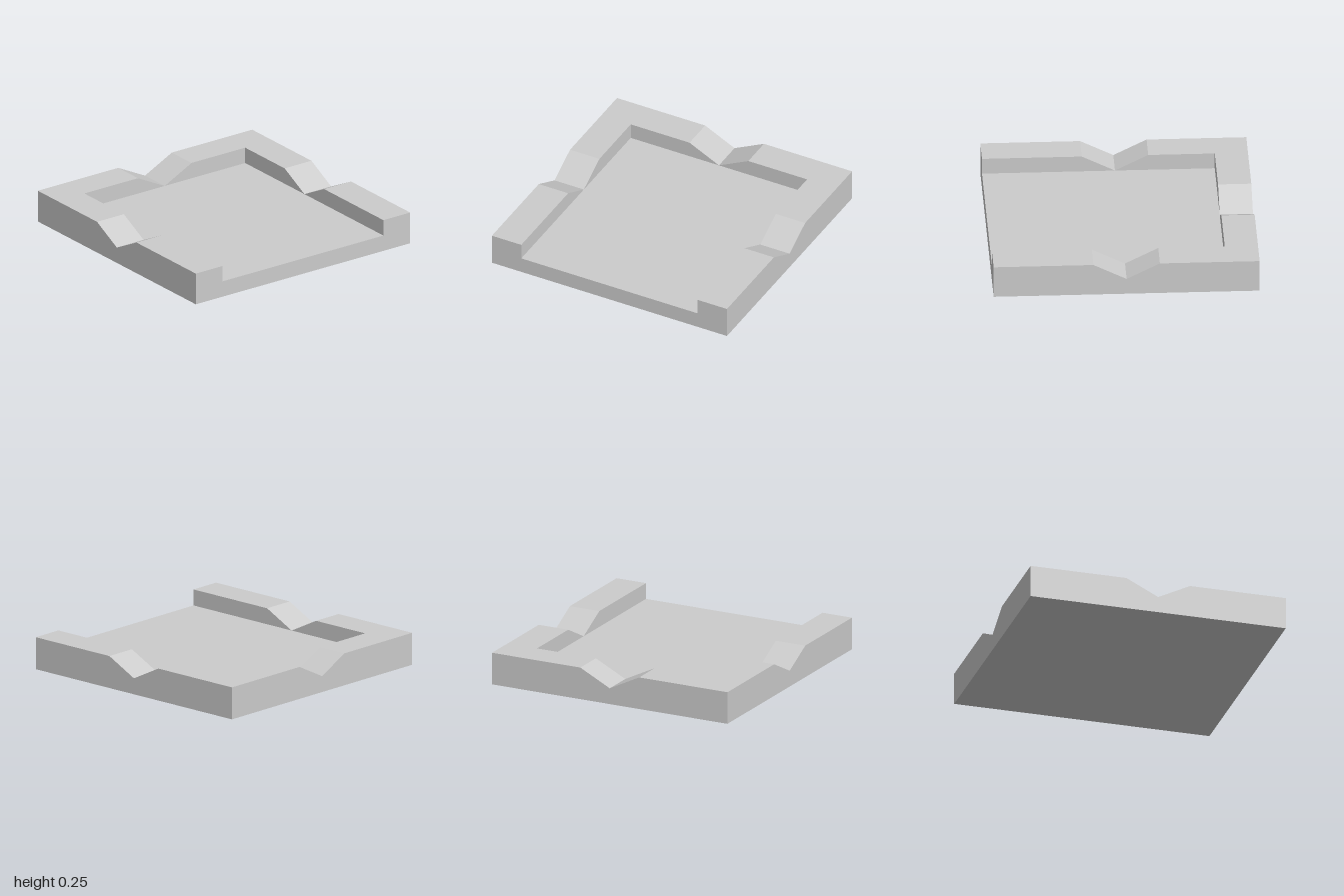
import * as THREE from 'three';

const HEIGHT = 0.25, FLOOR = 0.125, WALL = 0.25, NOTCH = 0.25;

// Wall with a V notch at its middle, running along x and centred on z
function notchedWall(halfLength) {
  const profile = new THREE.Shape([
    [-halfLength, 0], [halfLength, 0], [halfLength, HEIGHT], [NOTCH, HEIGHT],
    [0, FLOOR], [-NOTCH, HEIGHT], [-halfLength, HEIGHT],
  ].map(([x, y]) => new THREE.Vector2(x, y)));
  return new THREE.ExtrudeGeometry(profile, { depth: WALL, bevelEnabled: false })
    .translate(0, 0, -WALL / 2);
}

export function createModel() {
  const group = new THREE.Group();
  const material = new THREE.MeshStandardMaterial({ color: 0xcccccc, flatShading: true });
  const add = (name, geometry, x, y, z) => {
    const mesh = new THREE.Mesh(geometry, material);
    mesh.name = name;
    mesh.position.set(x, y, z);
    group.add(mesh);
    return mesh;
  };
  const wallCentre = 1 - WALL / 2;
  const inner = 1 - WALL;

  // Recessed floor, open towards +x
  add('floor', new THREE.BoxGeometry(1 + inner, FLOOR, 2 * inner), WALL / 2, FLOOR / 2, 0);

  // Full-length front and back walls
  add('frontWall', notchedWall(1), 0, 0, wallCentre);
  add('backWall', notchedWall(1), 0, 0, -wallCentre);

  // Side wall fitted between them
  add('sideWall', notchedWall(inner), -wallCentre, 0, 0).rotation.y = Math.PI / 2;

  return group;
}
